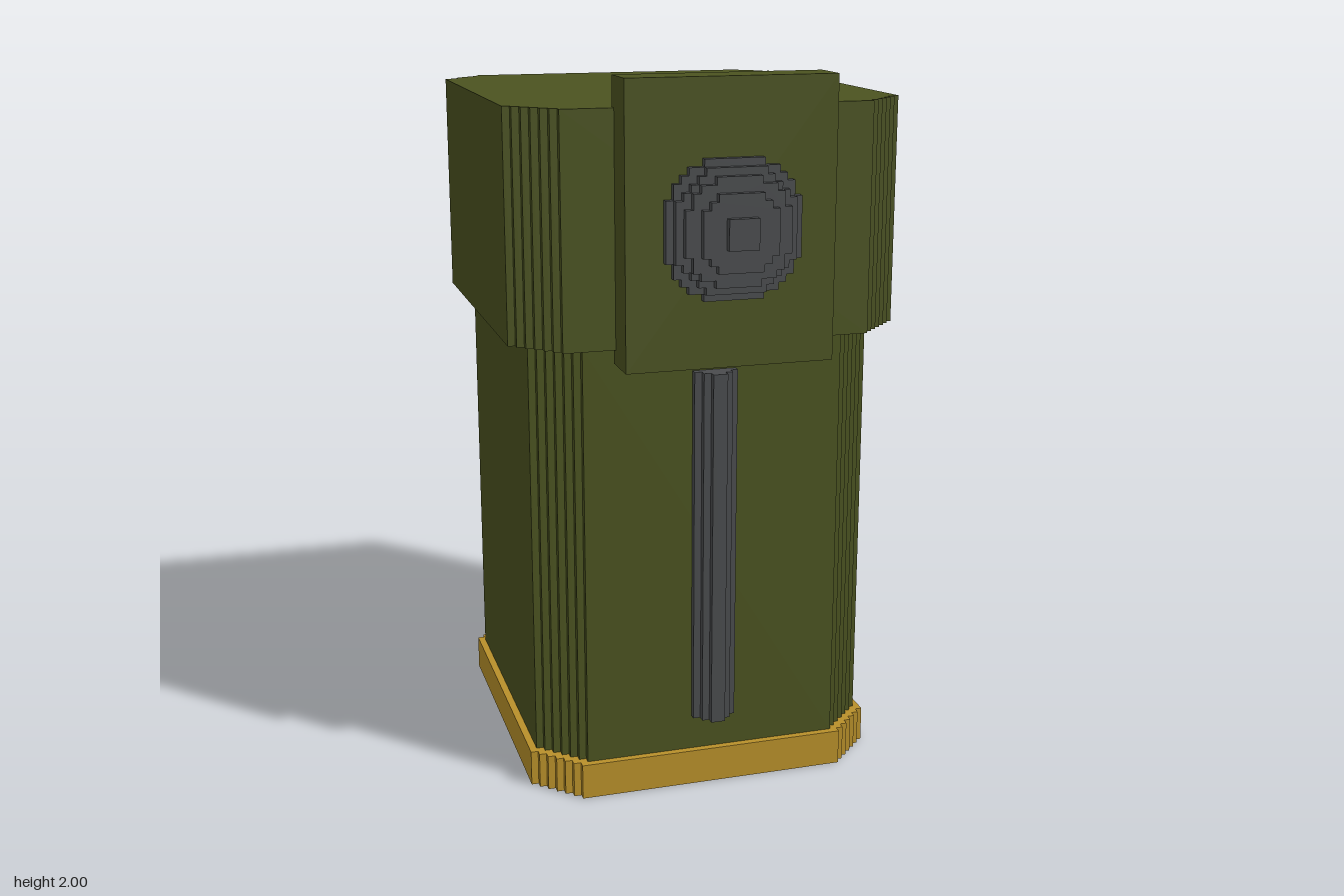
import * as THREE from 'three';

const V = 2 / 99; // size of one block

// Symmetric staircase outline: heightAt(i) is the half height of the column from i to i + 1
function steppedShape(halfWidth, heightAt) {
  const quarter = [];
  let last = 0;
  for (let i = halfWidth - 1; i >= 0; i--) {
    const h = heightAt(i);
    if (h > last) {
      if (last > 0) quarter.push([i + 1, last]);
      quarter.push([i + 1, h]);
      last = h;
    }
  }
  const back = [...quarter].reverse();
  const points = [
    ...quarter,
    ...back.map(([x, y]) => [-x, y]),
    ...quarter.map(([x, y]) => [-x, -y]),
    ...back.map(([x, y]) => [x, -y]),
  ];
  return new THREE.Shape(points.map(([x, y]) => new THREE.Vector2(x * V, y * V)));
}

// Rectangle whose corners are cut in steps
const cutCorners = (w, h, cut) => steppedShape(w, (i) => h - Math.max(0, i - (w - cut) + 1));

// Blocky disc
function blockDisc(radiusSq) {
  const count = (i) => {
    const rest = radiusSq - (i + 0.5) ** 2;
    return rest < 0.25 ? 0 : Math.floor(Math.sqrt(rest) + 0.5);
  };
  return steppedShape(count(0), count);
}

const extrude = (shape, depth) =>
  new THREE.ExtrudeGeometry(shape, { depth: depth * V, bevelEnabled: false });

export function createModel() {
  const model = new THREE.Group();
  model.name = 'canister';
  const green = new THREE.MeshStandardMaterial({ name: 'olive green', color: 0x4b5320 });
  const gold = new THREE.MeshStandardMaterial({ name: 'gold', color: 0xb8902a });
  const grey = new THREE.MeshStandardMaterial({ name: 'dark grey', color: 0x4a4c4e });

  const add = (parent, name, geometry, material) => {
    const mesh = new THREE.Mesh(geometry, material);
    mesh.name = name;
    parent.add(mesh);
    return mesh;
  };

  // Upright prism between two heights
  const upright = (name, shape, y0, y1, z, material) => {
    const geometry = extrude(shape, y1 - y0).rotateX(-Math.PI / 2);
    add(model, name, geometry, material).position.set(0, y0 * V, z * V);
  };

  // Base, body and lid with stepped corners
  upright('base', cutCorners(25, 27, 6), 0, 5, -5, gold);
  upright('body', cutCorners(24, 26, 6), 5, 64, -5, green);
  upright('lid', cutCorners(27, 28, 6), 64, 95, -5, green);

  // Raised rib down the front of the body
  upright('frontRib', steppedShape(3, (i) => 3 - i), 10, 60, 21, grey);

  // Latch plate on the front of the lid
  const plate = new THREE.BoxGeometry(28 * V, 37 * V, 6 * V);
  add(model, 'latchPlate', plate, green).position.set(0, 80.5 * V, 25 * V);

  // Domed button, one block layer at a time
  const button = new THREE.Group();
  button.name = 'button';
  button.position.set(0, 80 * V, 28 * V);
  model.add(button);
  for (let k = 0; k < 5; k++) {
    const radiusSq = 161.3 - (8.5 + k) ** 2;
    add(button, `buttonLayer${k + 1}`, extrude(blockDisc(radiusSq), 1), grey).position.z = k * V;
  }
  return model;
}
